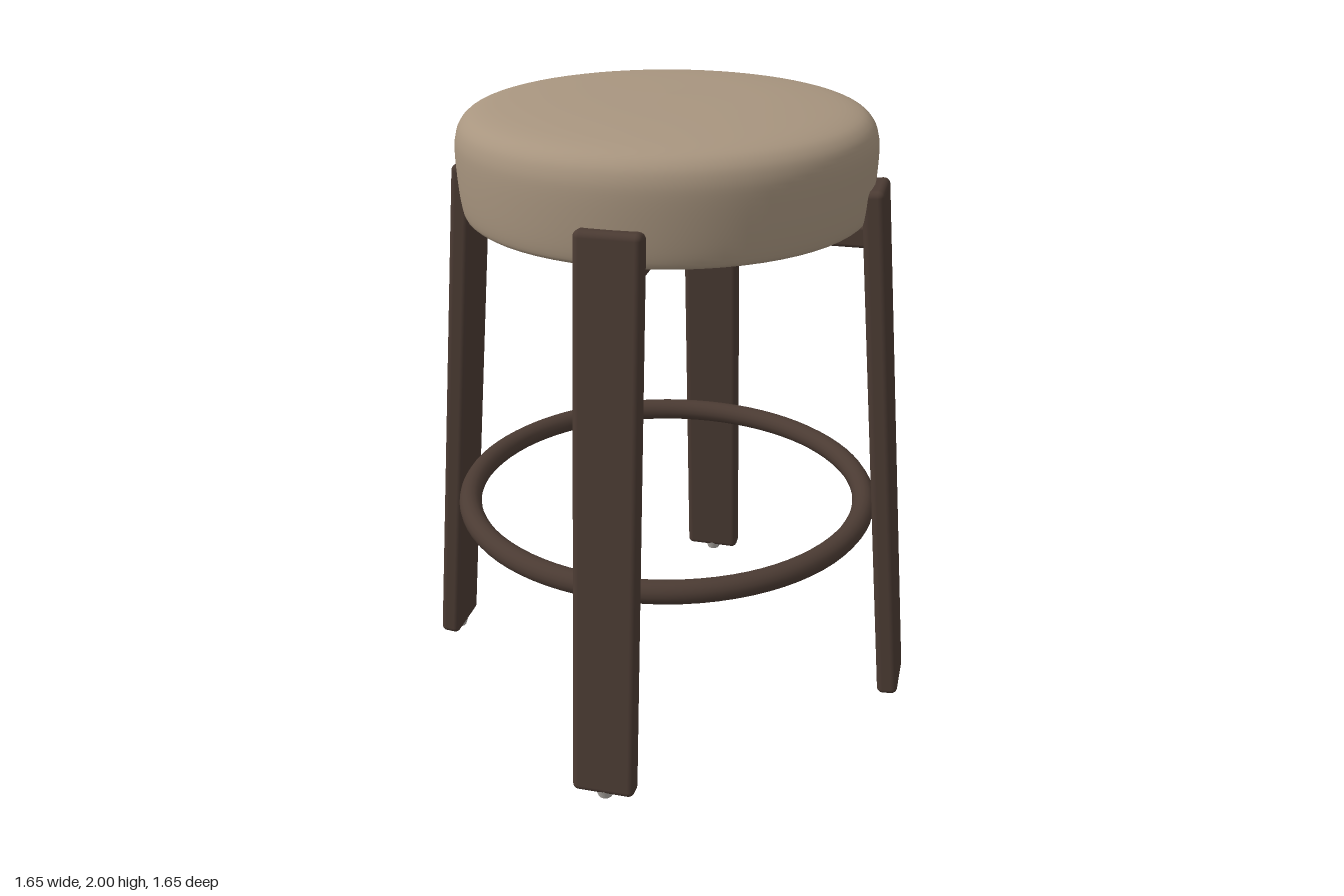
import * as THREE from 'three';
import { RoundedBoxGeometry } from 'three/addons/geometries/RoundedBoxGeometry.js';

export function createModel() {
  const model = new THREE.Group();
  model.name = 'stool';

  const material = (name, color) => {
    const m = new THREE.MeshStandardMaterial({ color });
    m.name = name;
    return m;
  };
  const fabric = material('taupe upholstery', 0xa8957f);
  const wood = material('dark brown wood', 0x4b3b33);
  const metal = material('pale glide', 0xb5b0aa);

  const add = (parent, name, geometry, mat, x = 0, y = 0, z = 0) => {
    const mesh = new THREE.Mesh(geometry, mat);
    mesh.name = name;
    mesh.position.set(x, y, z);
    parent.add(mesh);
    return mesh;
  };

  // Padded round seat: closed profile with a softly domed top
  const bottom = [[0, 1.642], [0.3, 1.642], [0.58, 1.642]];
  const side = [
    [0.58, 1.642], [0.615, 1.648], [0.629, 1.67], [0.638, 1.74], [0.643, 1.84],
    [0.638, 1.895], [0.618, 1.935], [0.575, 1.962], [0.48, 1.98], [0.3, 1.994], [0, 2],
  ];
  const vectors = (pts) => pts.map(([x, y]) => new THREE.Vector2(x, y));
  const curve = new THREE.SplineCurve(vectors(side)).getPoints(40);
  curve[curve.length - 1].x = 0;
  add(model, 'seatCushion', new THREE.LatheGeometry(curve, 64), fabric);
  add(model, 'seatUnderside', new THREE.LatheGeometry(vectors(bottom), 64), fabric);

  // Crossed rails carrying the seat
  for (const turn of [0, Math.PI / 2]) {
    const rail = add(model, 'seatRail', new RoundedBoxGeometry(1.28, 0.07, 0.11, 3, 0.012), wood, 0, 1.61, 0);
    rail.rotation.y = turn;
  }

  // Ring footrest
  const ring = add(model, 'footRing', new THREE.TorusGeometry(0.662, 0.037, 16, 80), wood, 0, 0.66, 0);
  ring.rotation.x = Math.PI / 2;

  // Four splayed legs, each with a small glide under its foot
  const splay = Math.atan(0.15 / 1.74);
  for (let i = 0; i < 4; i++) {
    const group = new THREE.Group();
    group.name = 'leg' + ['Front', 'Left', 'Back', 'Right'][i];
    group.rotation.y = (i * Math.PI) / 2;
    const leg = add(group, 'legPlank', new RoundedBoxGeometry(0.196, 1.748, 0.068, 4, 0.02), wood, 0, 0.891, 0.717);
    leg.rotation.x = -splay;
    add(group, 'footGlide', new THREE.CylinderGeometry(0.032, 0.022, 0.03, 20), metal, 0, 0.015, 0.79);
    model.add(group);
  }
  return model;
}
